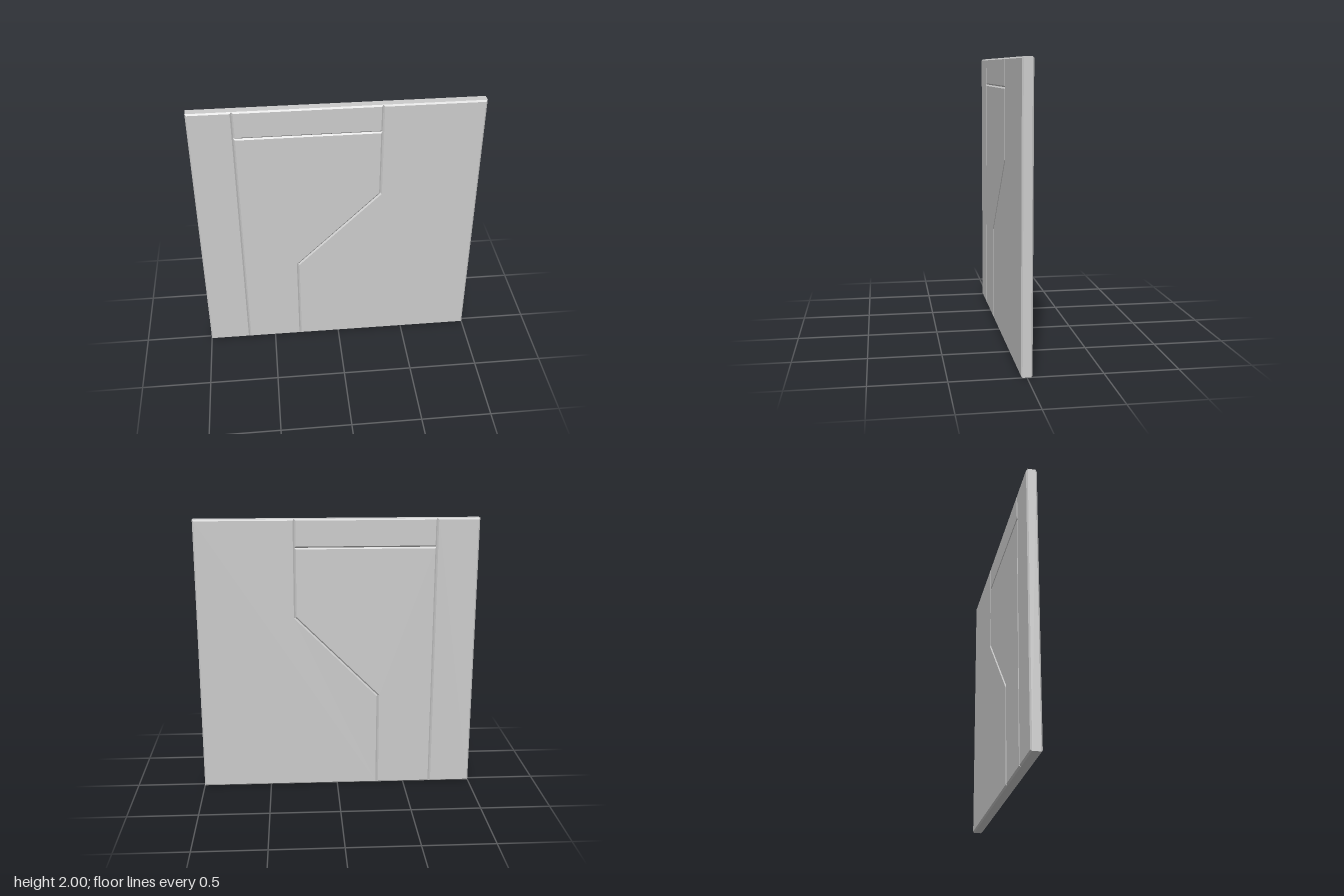
import * as THREE from 'three';

const THICKNESS = 0.075;
const BEVEL = 0.01;

// Outlines of the interlocking panels, counter-clockwise in x, y
const PANELS = {
  sideStrip: [[-1, 0], [-0.7, 0], [-0.7, 2], [-1, 2]],
  topPanel: [[-0.7, 1.8], [0.3, 1.8], [0.3, 2], [-0.7, 2]],
  middlePanel: [[-0.7, 0], [-0.3, 0], [-0.3, 0.7], [0.3, 1.3], [0.3, 1.8], [-0.7, 1.8]],
  largePanel: [[-0.3, 0], [1, 0], [1, 2], [0.3, 2], [0.3, 1.3], [-0.3, 0.7]],
};

export function createModel() {
  const group = new THREE.Group();
  group.name = 'wallPanel';
  const material = new THREE.MeshStandardMaterial({ color: 0xcccccc, flatShading: true });

  // Bevels cut inward, so neighbours touch and leave V-grooves at the seams
  for (const [name, outline] of Object.entries(PANELS)) {
    const shape = new THREE.Shape(outline.map(([x, y]) => new THREE.Vector2(x, y)));
    const geometry = new THREE.ExtrudeGeometry(shape, {
      depth: THICKNESS - 2 * BEVEL,
      bevelEnabled: true,
      bevelThickness: BEVEL,
      bevelSize: BEVEL,
      bevelOffset: -BEVEL,
      bevelSegments: 1,
    });
    geometry.translate(0, 0, BEVEL - THICKNESS / 2);
    const mesh = new THREE.Mesh(geometry, material);
    mesh.name = name;
    group.add(mesh);
  }
  return group;
}
